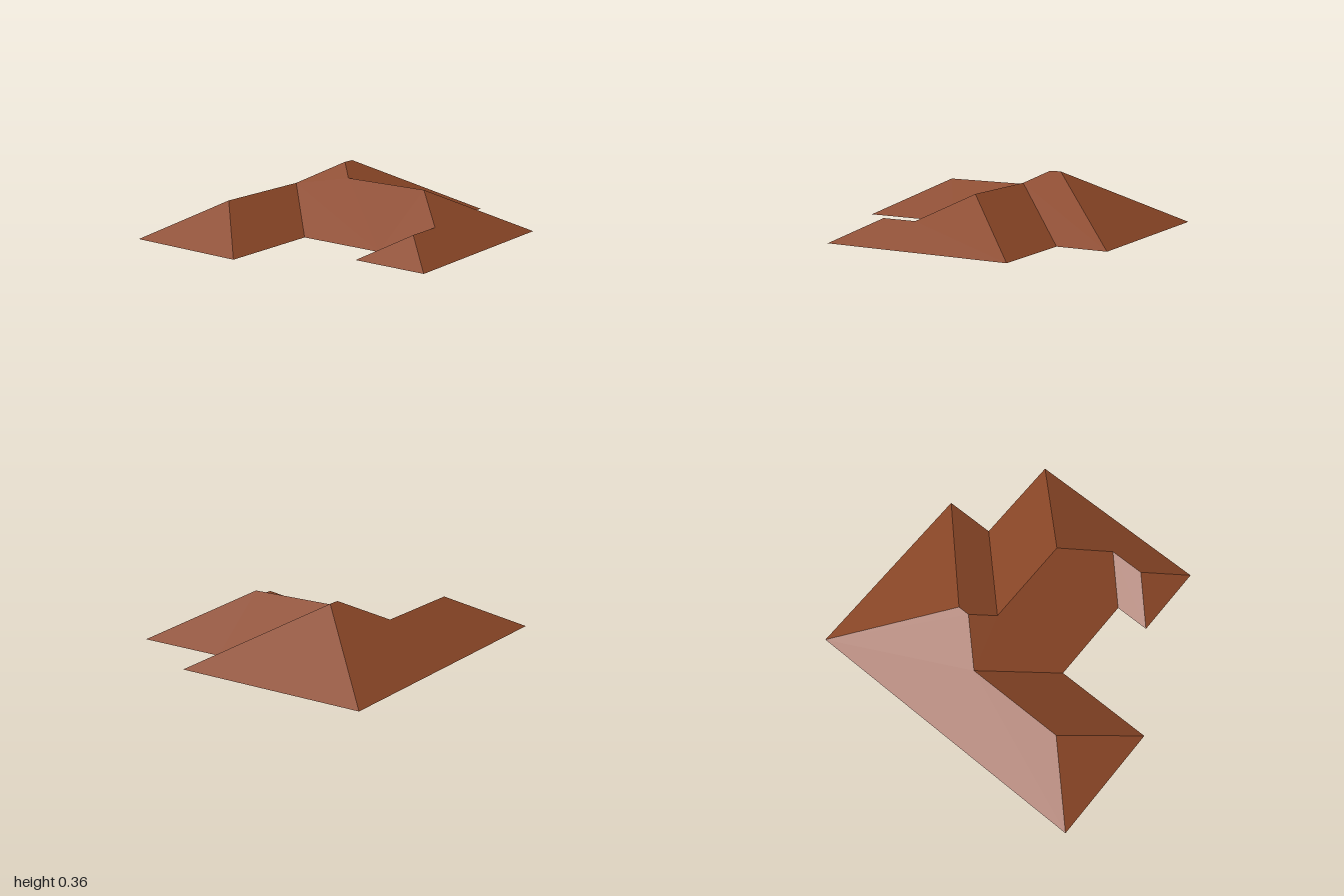
import * as THREE from 'three';

// Eave corners [x, z], running clockwise as seen from above
const EAVES = [
  [-1, -0.93], [1, -0.93], [1, 0.33], [0.67, 0.33], [0.67, 0.93],
  [-0.57, 0.93], [-0.57, 0.445], [-0.34, 0.445], [-0.34, -0.132], [-1, -0.132],
];

// Ridge junctions [x, y, z]
const RIDGE = {
  backWingEnd: [-0.6, 0.23, -0.531], backWingInner: [0.06, 0.23, -0.531],
  peakLeft: [0.293, 0.364, -0.3], peakRight: [0.37, 0.364, -0.3],
  mainBack: [0.165, 0.291, -0.173], mainFront: [0.165, 0.291, 0.425],
  frontWingInner: [-0.0975, 0.14, 0.6875], frontWingEnd: [-0.3275, 0.14, 0.6875],
};

// One slope per eave edge: its name and the ridge junctions above it
const SLOPES = [
  ['backSlope', 'peakRight', 'peakLeft', 'backWingInner', 'backWingEnd'],
  ['rightMainHip', 'peakRight'],
  ['frontMainSlope', 'mainBack', 'peakLeft', 'peakRight'],
  ['rightFrontSlope', 'mainFront', 'mainBack'],
  ['frontHip', 'frontWingEnd', 'frontWingInner', 'mainFront'],
  ['frontWingHip', 'frontWingEnd'],
  ['frontWingBackSlope', 'frontWingInner', 'frontWingEnd'],
  ['innerSlope', 'backWingInner', 'peakLeft', 'mainBack', 'mainFront', 'frontWingInner'],
  ['backWingFrontSlope', 'backWingEnd', 'backWingInner'],
  ['backWingHip', 'backWingEnd'],
];

const SOFFIT_WIDTH = 0.12;
const THICKNESS = 0.07;

// Flat polygon, wound so that it faces up or down
function panel(points, up) {
  const contour = points.map(([x, , z]) => new THREE.Vector2(x, z));
  const index = [];
  for (const [a, b, c] of THREE.ShapeUtils.triangulateShape(contour, [])) {
    const facesUp = THREE.ShapeUtils.area([contour[a], contour[b], contour[c]]) < 0;
    index.push(...(facesUp === up ? [a, b, c] : [a, c, b]));
  }
  const indexed = new THREE.BufferGeometry();
  indexed.setAttribute('position', new THREE.Float32BufferAttribute(points.flat(), 3));
  indexed.setIndex(index);
  const geometry = indexed.toNonIndexed();
  geometry.computeVertexNormals();
  return geometry;
}

// Moves every eave corner inward along both of its edges
function insetEaves(distance) {
  const count = EAVES.length;
  const inward = (i) => {
    const [x0, z0] = EAVES[i], [x1, z1] = EAVES[(i + 1) % count];
    const length = Math.hypot(x1 - x0, z1 - z0);
    return [-(z1 - z0) / length, (x1 - x0) / length];
  };
  return EAVES.map(([x, z], i) => {
    const before = inward((i + count - 1) % count), after = inward(i);
    return [x + distance * (before[0] + after[0]), z + distance * (before[1] + after[1])];
  });
}

export function createModel() {
  const roofTile = new THREE.MeshStandardMaterial({ color: 0x8c4727 });
  roofTile.name = 'roofTile';
  const undersideBoard = new THREE.MeshStandardMaterial({ color: 0xb49d74 });
  undersideBoard.name = 'undersideBoard';

  const model = new THREE.Group();
  model.name = 'hippedRoof';
  const groups = {};
  for (const name of ['roofSlopes', 'ceiling', 'soffit']) {
    groups[name] = new THREE.Group();
    groups[name].name = name;
    model.add(groups[name]);
  }
  const add = (group, name, points, up, material) => {
    const mesh = new THREE.Mesh(panel(points, up), material);
    mesh.name = name;
    groups[group].add(mesh);
  };

  const inner = insetEaves(SOFFIT_WIDTH);
  const ground = ([x, z]) => [x, 0, z];

  SLOPES.forEach(([name, ...nodes], i) => {
    const next = (i + 1) % EAVES.length;
    const outerEdge = [ground(EAVES[i]), ground(EAVES[next])];
    const innerEdge = [ground(inner[i]), ground(inner[next])];
    const ridge = nodes.map((n) => RIDGE[n]);
    const lowered = ridge.map(([x, y, z]) => [x, y - THICKNESS, z]);

    // Tiled slope, its ceiling below, and the flat strip under the eave
    add('roofSlopes', name, [...outerEdge, ...ridge], true, roofTile);
    add('ceiling', name + 'Ceiling', [...innerEdge, ...lowered], false, undersideBoard);
    add('soffit', name + 'Soffit', [...outerEdge, innerEdge[1], innerEdge[0]], false, undersideBoard);
  });

  return model;
}
